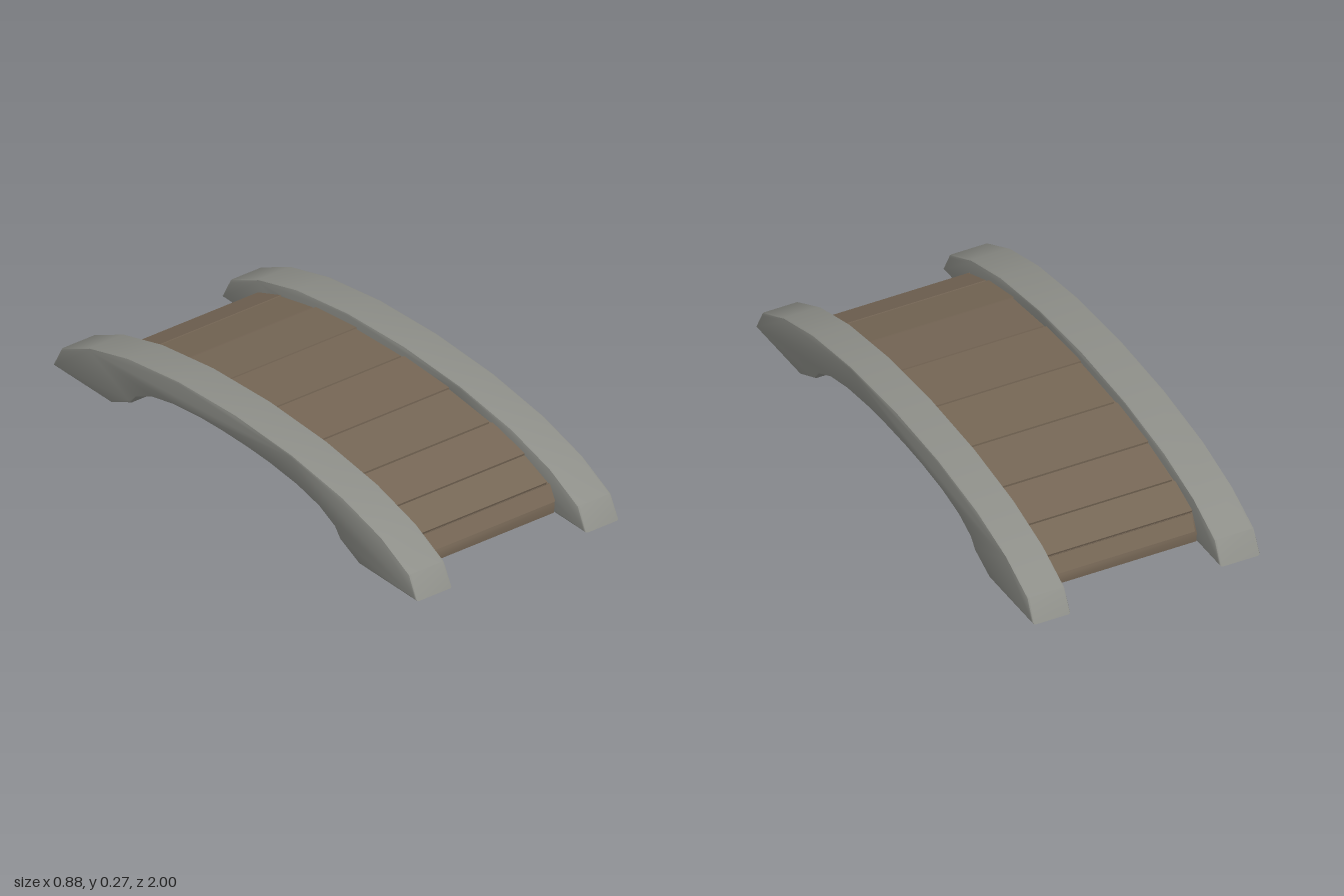
import * as THREE from 'three';
import { toCreasedNormals } from 'three/addons/utils/BufferGeometryUtils.js';

const stone = new THREE.MeshStandardMaterial({ color: 0x8e8f89 });
stone.name = 'grey stone';
const wood = new THREE.MeshStandardMaterial({ color: 0x756655 });
wood.name = 'brown wood';

// Half profiles as [z, y], from the foot to the crown
const archTop = [[1, 0], [0.955, 0.085], [0.8, 0.16], [0.59, 0.218], [0.31, 0.257], [0, 0.27]];
const archUnder = [[0.68, 0], [0.575, 0.048], [0.545, 0.085], [0.46, 0.125], [0.34, 0.152], [0.19, 0.168], [0.07, 0.173]];
const deckTop = [[0.835, 0.045], [0.802, 0.11], [0.67, 0.16], [0.485, 0.202], [0.255, 0.227], [0, 0.236]];

const flip = (pts) => pts.map(([z, y]) => [-z, y]);
// Full top line from +z to -z; the crown point is shared
const span = (half) => [...half, ...flip(half.slice(0, -1)).reverse()];

// Extrudes a z/y outline across x, from x0 to x1
function across(topHalf, x0, x1, bevel) {
  const outline = [...span(topHalf), ...flip(archUnder), ...[...archUnder].reverse()];
  const shape = new THREE.Shape(outline.map(([z, y]) => new THREE.Vector2(z, y)));
  const geometry = new THREE.ExtrudeGeometry(shape, {
    depth: x1 - x0 - 2 * bevel,
    bevelEnabled: bevel > 0,
    bevelSize: bevel,
    bevelThickness: bevel,
    bevelOffset: -bevel,
    bevelSegments: 2,
  });
  geometry.rotateY(-Math.PI / 2);
  geometry.translate(x1 - bevel, 0, 0);
  return toCreasedNormals(geometry, 0.7);
}

function addMesh(parent, name, geometry, material) {
  const mesh = new THREE.Mesh(geometry, material);
  mesh.name = name;
  parent.add(mesh);
  return mesh;
}

export function createModel() {
  const bridge = new THREE.Group();
  bridge.name = 'archedFootbridge';

  // Side arches
  addMesh(bridge, 'rightArch', across(archTop, -0.44, -0.285, 0.009), stone);
  addMesh(bridge, 'leftArch', across(archTop, 0.292, 0.438, 0.009), stone);

  // Deck body, a little below the plank tops so the seams show
  const body = [[0.825, 0], ...deckTop.map(([z, y]) => [z * 0.994, y - 0.008])];
  addMesh(bridge, 'deckBody', across(body, -0.286, 0.293, 0), wood);

  // Planks laid along the deck line
  const planks = new THREE.Group();
  planks.name = 'planks';
  bridge.add(planks);
  const line = span(deckTop).reverse();
  const thick = 0.014;
  for (let i = 0; i < line.length - 1; i++) {
    const [z0, y0] = line[i];
    const [z1, y1] = line[i + 1];
    const length = Math.hypot(z1 - z0, y1 - y0);
    const tilt = Math.atan2(y0 - y1, z1 - z0);
    const width = i % 2 ? 0.576 : 0.56;
    const plank = addMesh(planks, 'plank', new THREE.BoxGeometry(width, thick, length - 0.008), wood);
    plank.rotation.x = tilt;
    plank.position.set(
      0.0035,
      (y0 + y1) / 2 - Math.cos(tilt) * thick / 2,
      (z0 + z1) / 2 - Math.sin(tilt) * thick / 2,
    );
  }
  return bridge;
}
